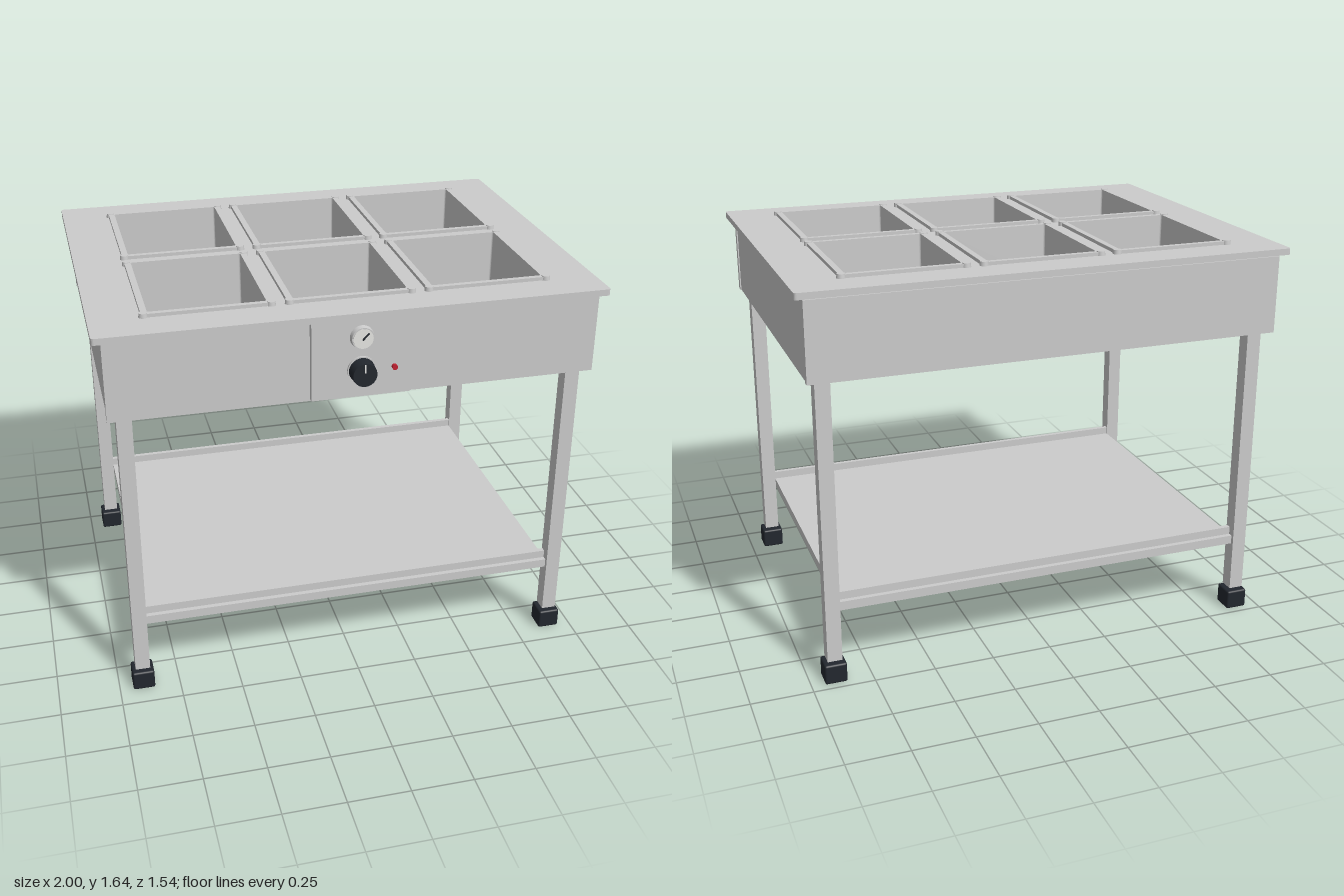
import * as THREE from 'three';
import { RoundedBoxGeometry } from 'three/addons/geometries/RoundedBoxGeometry.js';

const steel = new THREE.MeshStandardMaterial({ color: 0xcccccc });
const black = new THREE.MeshStandardMaterial({ color: 0x22272e });
const white = new THREE.MeshStandardMaterial({ color: 0xe6e6e2 });
const red = new THREE.MeshStandardMaterial({ color: 0xc02030 });

function add(parent, name, geometry, material = steel) {
  const mesh = new THREE.Mesh(geometry, material);
  mesh.name = name;
  parent.add(mesh);
  return mesh;
}

// Box given by its limits on each axis
function box(parent, name, [x0, x1], [y0, y1], [z0, z1], material) {
  const mesh = add(parent, name, new THREE.BoxGeometry(x1 - x0, y1 - y0, z1 - z0), material);
  mesh.position.set((x0 + x1) / 2, (y0 + y1) / 2, (z0 + z1) / 2);
  return mesh;
}

// Rounded rectangle outline in plan (plan y is -z)
function rectangle(path, cx, cz, hx, hz, r) {
  const cy = -cz;
  path.moveTo(cx - hx + r, cy - hz);
  path.lineTo(cx + hx - r, cy - hz);
  path.absarc(cx + hx - r, cy - hz + r, r, -Math.PI / 2, 0);
  path.absarc(cx + hx - r, cy + hz - r, r, 0, Math.PI / 2);
  path.absarc(cx - hx + r, cy + hz - r, r, Math.PI / 2, Math.PI);
  path.absarc(cx - hx + r, cy - hz + r, r, Math.PI, Math.PI * 1.5);
  return path;
}

// Flat plate with holes, standing from y0 to y1
function plate(parent, name, outline, holes, y0, y1) {
  outline.holes.push(...holes);
  const geometry = new THREE.ExtrudeGeometry(outline, { depth: y1 - y0, bevelEnabled: false, curveSegments: 4 });
  geometry.rotateX(-Math.PI / 2);
  const mesh = add(parent, name, geometry);
  mesh.position.y = y0;
  return mesh;
}

// Round part with its axis along z, from z0 to z1
function disc(parent, name, x, y, r, z0, z1, material, rFront = r) {
  const geometry = new THREE.CylinderGeometry(rFront, r, z1 - z0, 32);
  geometry.rotateX(Math.PI / 2);
  const mesh = add(parent, name, geometry, material);
  mesh.position.set(x, y, (z0 + z1) / 2);
  return mesh;
}

function createPan(x, z) {
  const pan = new THREE.Group();
  pan.name = 'pan';
  pan.position.set(x, 0, z);
  const hx = 0.225, hz = 0.262;
  const opening = () => rectangle(new THREE.Path(), 0, 0, hx, hz, 0.008);

  plate(pan, 'panWalls', rectangle(new THREE.Shape(), 0, 0, hx + 0.017, hz + 0.012, 0.01), [opening()], 1.4, 1.625);
  box(pan, 'panFloor', [-hx - 0.016, hx + 0.016], [1.385, 1.4], [-hz - 0.011, hz + 0.011]);
  plate(pan, 'panRim', rectangle(new THREE.Shape(), 0, 0, 0.25, 0.283, 0.01), [opening()], 1.62, 1.634);

  // Raised corners of the rim
  for (const sx of [-1, 1]) for (const sz of [-1, 1]) {
    const corner = add(pan, 'rimCorner', new THREE.CylinderGeometry(0.016, 0.018, 0.017, 16));
    corner.position.set(sx * 0.241, 1.6285, sz * 0.274);
  }
  return pan;
}

export function createModel() {
  const model = new THREE.Group();
  model.name = 'foodWarmerTable';

  // Worktop with six openings and the pans set in them
  const centres = [];
  for (const x of [-0.552, 0, 0.552]) for (const z of [-0.342, 0.281]) centres.push([x, z]);
  const openings = centres.map(([x, z]) => rectangle(new THREE.Path(), x, z, 0.242, 0.274, 0.01));
  plate(model, 'worktop', rectangle(new THREE.Shape(), 0, -0.028, 1, 0.742, 0.012), openings, 1.594, 1.62);
  for (const [x, z] of centres) model.add(createPan(x, z));

  // Cabinet: front and back panels, sides set slightly in, and a closed underside
  const cabinet = new THREE.Group();
  cabinet.name = 'cabinet';
  model.add(cabinet);
  box(cabinet, 'frontPanel', [-0.965, 0.965], [1.268, 1.585], [0.66, 0.69]);
  box(cabinet, 'backPanel', [-0.965, 0.965], [1.268, 1.585], [-0.745, -0.715]);
  for (const s of [-1, 1]) {
    const side = box(cabinet, 'sidePanel', [0.93, 0.96], [1.268, 1.585], [-0.715, 0.66]);
    side.position.x *= s;
  }
  box(cabinet, 'cabinetBottom', [-0.93, 0.93], [1.27, 1.285], [-0.715, 0.66]);

  // Control panel with thermometer, knob and lamp
  const controls = new THREE.Group();
  controls.name = 'controls';
  model.add(controls);
  box(controls, 'controlPanel', [-0.195, 0.195], [1.277, 1.6], [0.69, 0.714]);
  disc(controls, 'gaugeCase', 0, 1.525, 0.047, 0.714, 0.735, steel, 0.044);
  disc(controls, 'gaugeFace', 0, 1.525, 0.039, 0.735, 0.738, white);
  const needle = box(controls, 'gaugeNeedle', [-0.003, 0.003], [0, 0.036], [0.738, 0.741], black);
  needle.position.set(0.009, 1.534, 0.7395);
  needle.rotation.z = -Math.PI / 4;
  disc(controls, 'knobCollar', 0, 1.39, 0.056, 0.714, 0.722, steel);
  disc(controls, 'knob', 0, 1.39, 0.051, 0.722, 0.771, black, 0.047);
  box(controls, 'knobMark', [-0.003, 0.003], [1.4, 1.435], [0.77, 0.773], white);
  disc(controls, 'lamp', 0.13, 1.39, 0.011, 0.714, 0.728, red);

  // Square legs on black feet
  for (const x of [-0.9, 0.9]) for (const z of [-0.675, 0.623]) {
    box(model, 'leg', [x - 0.03, x + 0.03], [0.093, 1.27], [z - 0.03, z + 0.03]);
    const foot = add(model, 'foot', new RoundedBoxGeometry(0.09, 0.083, 0.09, 2, 0.008), black);
    foot.position.set(x, 0.0415, z);
  }

  // Lower shelf, with a rail and a raised lip between the legs at front and back
  box(model, 'shelf', [-0.87, 0.87], [0.305, 0.342], [-0.645, 0.593]);
  for (const [z, s] of [[0.593, 1], [-0.645, -1]]) {
    const rail = box(model, 'shelfRail', [-0.87, 0.87], [0.305, 0.342], [0, 0.045]);
    rail.position.z = z + s * 0.0225;
    const lip = box(model, 'shelfLip', [-0.87, 0.87], [0.342, 0.375], [0, 0.02]);
    lip.position.z = z + s * 0.015;
  }
  return model;
}
